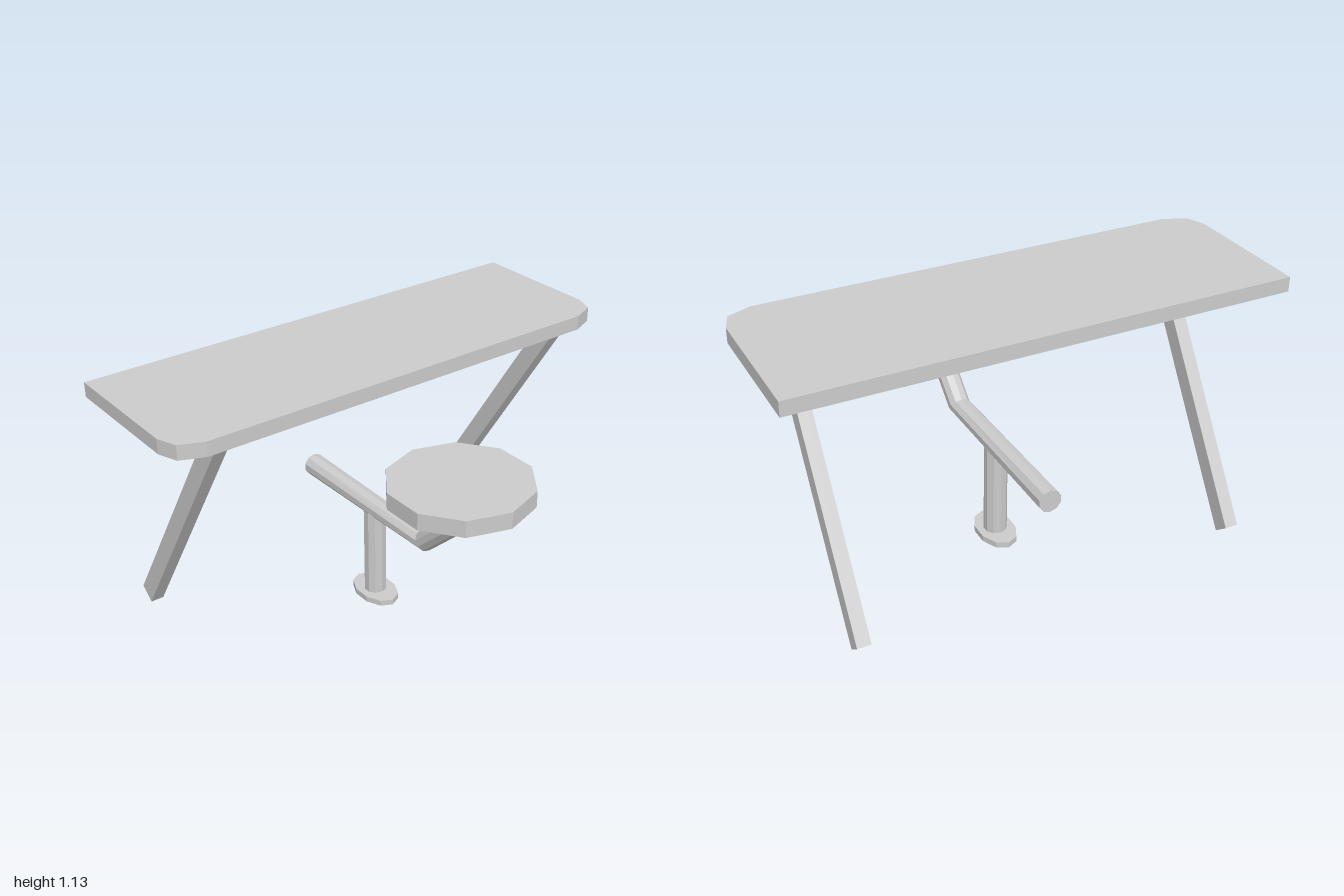
import * as THREE from 'three';

const SIDES = 10;
const CX = 0.005; // centre line of the seat assembly

export function createModel() {
  const model = new THREE.Group();
  const material = new THREE.MeshStandardMaterial({ color: 0xcccccc, flatShading: true });
  const openMaterial = material.clone();
  openMaterial.side = THREE.DoubleSide;

  const add = (name, geometry, x = 0, y = 0, z = 0, mat = material) => {
    const mesh = new THREE.Mesh(geometry, mat);
    mesh.name = name;
    mesh.position.set(x, y, z);
    model.add(mesh);
  };
  const points = (list) => list.map(([a, b]) => new THREE.Vector2(a, b));
  const extrude = (shape, depth) =>
    new THREE.ExtrudeGeometry(shape, { depth, bevelEnabled: false });
  const ellipse = (rx, rz) => Array.from({ length: SIDES }, (_, i) => {
    const a = (i / SIDES) * Math.PI * 2;
    return [Math.sin(a) * rx, Math.cos(a) * rz];
  });

  // Table top: square back corners, clipped front corners (outline in x, -z)
  const frontCorner = [[1, 0.04], [0.97, -0.04], [0.875, -0.08]];
  const outline = [
    [1, 0.59], ...frontCorner,
    ...frontCorner.map(([x, y]) => [-x, y]).reverse(), [-1, 0.59],
  ];
  add('tableTop', extrude(new THREE.Shape(points(outline)), 0.06).rotateX(-Math.PI / 2), 0, 1.07);

  // Slanted legs: side profile (z, y) extruded across the width
  const legProfile = new THREE.Shape(points([[0.05, 1.07], [-0.04, 1.07], [-0.673, 0.1], [-0.613, 0.05]]));
  for (const [name, x] of [['leftLeg', 0.793], ['rightLeg', -0.798]]) {
    add(name, extrude(legProfile, 0.056).rotateY(-Math.PI / 2).translate(0.028, 0, 0), x);
  }

  // Seat
  add('seat', new THREE.CylinderGeometry(0.29, 0.29, 0.07, SIDES), CX, 0.77, 0.38);

  // Bent seat arm
  add('seatArm', bentPipe(), CX);

  // Post and its oval ring foot
  add('post', new THREE.CylinderGeometry(0.048, 0.048, 0.4, SIDES, 1, true), CX, 0.22, -0.157, openMaterial);
  const foot = new THREE.Shape(points(ellipse(0.079, 0.122)));
  foot.holes.push(new THREE.Path(points(ellipse(0.047, 0.047))));
  add('postFoot', extrude(foot, 0.025).rotateX(-Math.PI / 2), CX, 0, -0.157);

  return model;
}

// Pipe through rings given as [z, y, radius, tilt of the ring from +z downward]
function bentPipe() {
  const rings = [
    [0.383, 0.735, 0.049, 0],
    [0.383, 0.622, 0.046, 0.39],
    [0.175, 0.433, 0.045, 0.96],
    [-0.598, 0.433, 0.048, Math.PI / 2],
  ];
  const at = (i, j) => {
    const [z, y, r, tilt] = rings[i];
    const a = (j / SIDES) * Math.PI * 2;
    const c = Math.cos(a) * r;
    return [Math.sin(a) * r, y - c * Math.sin(tilt), z + c * Math.cos(tilt)];
  };
  const positions = [];
  const triangle = (a, b, c) => positions.push(...a, ...b, ...c);
  const last = rings.length - 1;
  for (let j = 0; j < SIDES; j++) {
    for (let i = 0; i < last; i++) {
      triangle(at(i, j), at(i + 1, j), at(i, j + 1));
      triangle(at(i + 1, j), at(i + 1, j + 1), at(i, j + 1));
    }
    // End caps
    triangle([0, rings[0][1], rings[0][0]], at(0, j), at(0, j + 1));
    triangle([0, rings[last][1], rings[last][0]], at(last, j + 1), at(last, j));
  }
  const geometry = new THREE.BufferGeometry();
  geometry.setAttribute('position', new THREE.Float32BufferAttribute(positions, 3));
  geometry.computeVertexNormals();
  return geometry;
}
